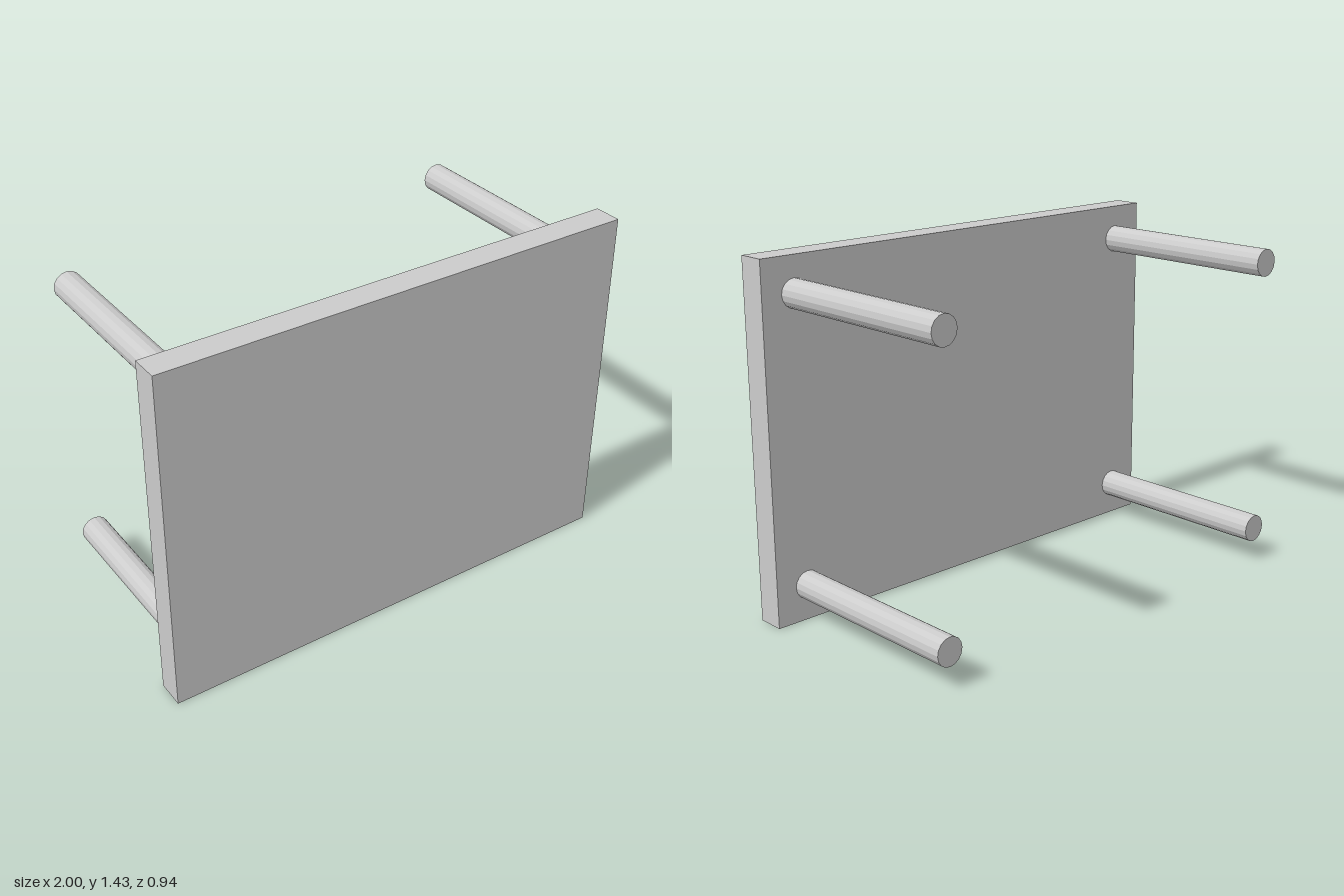
import * as THREE from 'three';

// A four-legged table lying on its side: top faces +z, legs point to -z.
export function createModel() {
  const group = new THREE.Group();
  const material = new THREE.MeshStandardMaterial({ color: 0xcccccc, flatShading: true });

  const width = 2, height = 1.4286, thickness = 0.114, frontZ = 0.472;
  const inset = 0.143, legRadius = 0.057;
  const slabBackZ = frontZ - thickness;
  const legLength = slabBackZ + frontZ;

  // Table top
  const top = new THREE.Mesh(new THREE.BoxGeometry(width, height, thickness), material);
  top.name = 'tableTop';
  top.position.set(0, height / 2, frontZ - thickness / 2);
  group.add(top);

  // Legs near the four corners
  const legGeometry = new THREE.CylinderGeometry(legRadius, legRadius, legLength, 16);
  legGeometry.rotateX(Math.PI / 2);
  for (const [side, sx] of [['left', 1], ['right', -1]]) {
    for (const [level, y] of [['Lower', inset], ['Upper', height - inset]]) {
      const leg = new THREE.Mesh(legGeometry, material);
      leg.name = `${side}${level}Leg`;
      leg.position.set(sx * (width / 2 - inset), y, slabBackZ - legLength / 2);
      group.add(leg);
    }
  }
  return group;
}
